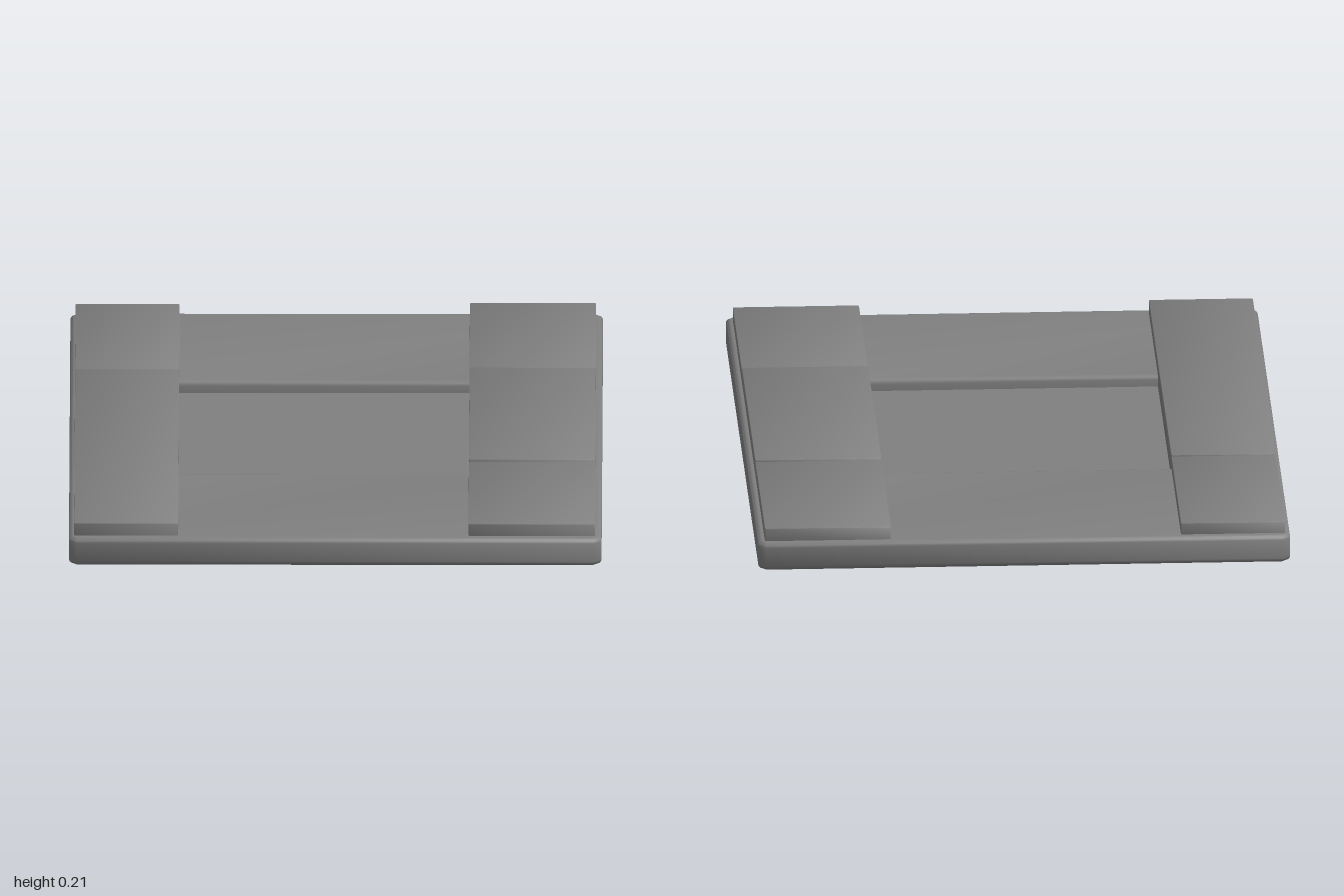
import * as THREE from 'three';
import { toCreasedNormals } from 'three/addons/utils/BufferGeometryUtils.js';

const material = new THREE.MeshStandardMaterial({ color: 0x808080 });

// Rectangle in plan with clipped corners; shape y runs toward -z
function clippedRect(x0, x1, z0, z1, c, Type = THREE.Shape) {
  const a = -z1, b = -z0;
  return new Type([
    [x0 + c, a], [x1 - c, a], [x1, a + c], [x1, b - c],
    [x1 - c, b], [x0 + c, b], [x0, b - c], [x0, a + c],
  ].map(([x, y]) => new THREE.Vector2(x, y)));
}

// Stone block with worn, rounded edges between two heights, optionally with an opening
function stone(name, [x0, x1], [y0, y1], [z0, z1], bevel, hole) {
  const shape = clippedRect(x0 + bevel, x1 - bevel, z0 + bevel, z1 - bevel, bevel);
  if (hole) shape.holes.push(hole);
  const geometry = new THREE.ExtrudeGeometry(shape, {
    depth: y1 - y0 - 2 * bevel, bevelEnabled: true,
    bevelThickness: bevel, bevelSize: bevel, bevelSegments: 3,
  });
  geometry.rotateX(-Math.PI / 2).translate(0, y0 + bevel, 0);
  const mesh = new THREE.Mesh(toCreasedNormals(geometry, 0.85), material);
  mesh.name = name;
  return mesh;
}

export function createModel() {
  const group = new THREE.Group();
  group.name = 'stoneSlab';

  // Footing under the slab, set slightly toward the front
  group.add(stone('footing', [-0.65, 0.65], [0, 0.1], [-0.5, 0.54], 0.008));

  // Main slab with a shallow recess in the middle; the side lips tuck under the strips
  const lip = 0.014;
  const recess = clippedRect(-0.46 - lip, 0.39 + lip, -0.39 - lip, 0.42 + lip, 0.001, THREE.Path);
  group.add(stone('slab', [-0.78, 0.78], [0.086, 0.17], [-1, 1], lip, recess));

  // Floor of the recess
  const floor = new THREE.Mesh(new THREE.BoxGeometry(0.9, 0.04, 0.86), material);
  floor.name = 'recessFloor';
  floor.position.set(-0.035, 0.115, 0.015);
  group.add(floor);

  // Raised side strips, each split into stones of slightly different height
  const strips = [
    ['leftStripFront', [0.39, 0.76], 0.207, [0.42, 0.97]],
    ['leftStripMiddle', [0.39, 0.76], 0.214, [-0.39, 0.42]],
    ['leftStripBack', [0.39, 0.76], 0.209, [-0.975, -0.39]],
    ['rightStripFront', [-0.765, -0.46], 0.209, [-0.39, 0.97]],
    ['rightStripBack', [-0.765, -0.46], 0.205, [-0.975, -0.39]],
  ];
  for (const [name, x, top, z] of strips) group.add(stone(name, x, [0.14, top], z, 0.002));

  return group;
}
